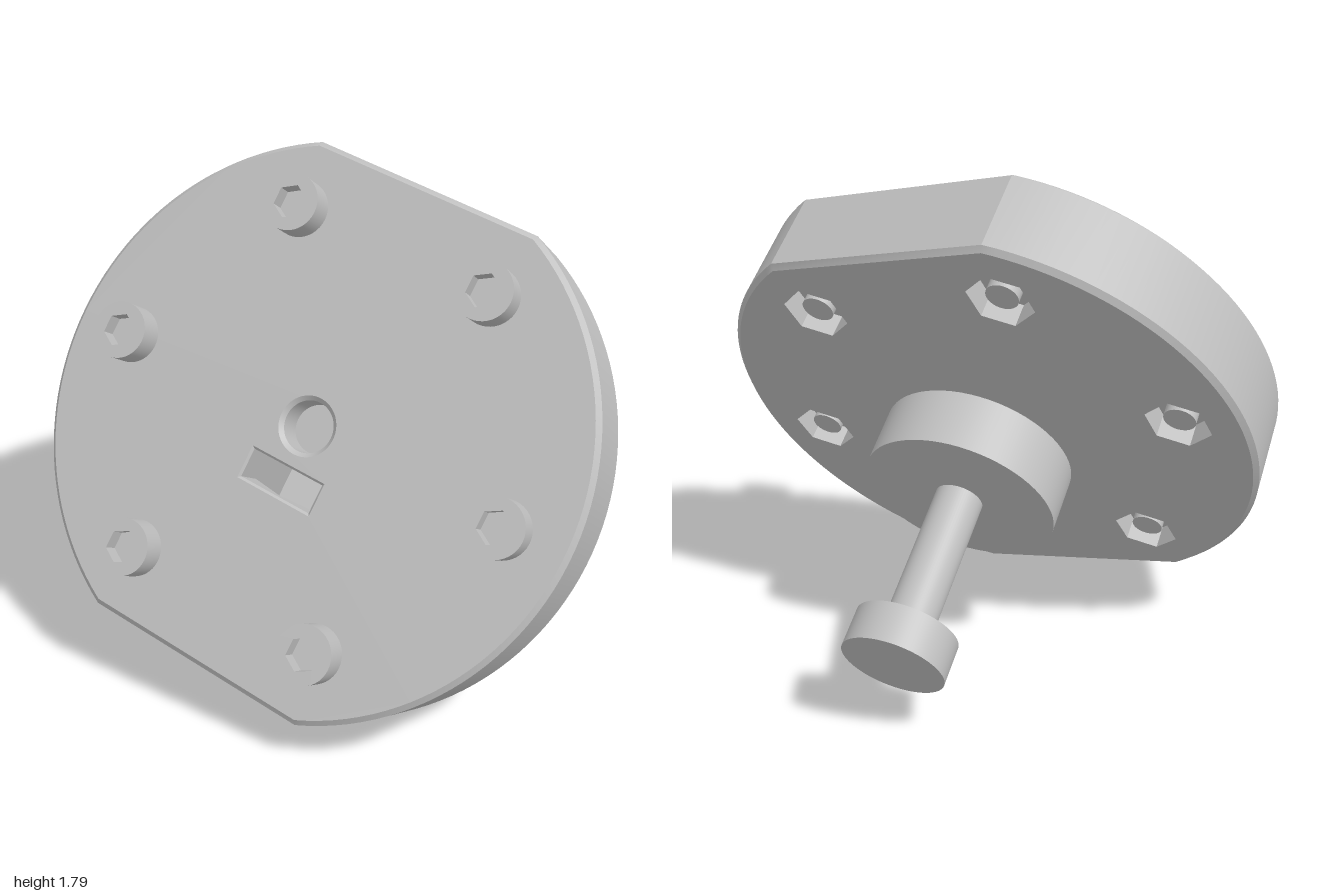
import * as THREE from 'three';
import { toCreasedNormals } from 'three/addons/utils/BufferGeometryUtils.js';

const R = 0.99, FLAT = 0.895, T = 0.34, CH = 0.018; // plate radius, flat distance, thickness, chamfer
const BOLT_CIRCLE = 0.755, HEAD_H = 0.1;

const metal = new THREE.MeshStandardMaterial({ color: 0xbfbfbf, side: THREE.DoubleSide });
metal.name = 'light grey metal';

function add(parent, name, geometry) {
  const mesh = new THREE.Mesh(geometry, metal);
  mesh.name = name;
  parent.add(mesh);
  return mesh;
}

// Counter-clockwise loops of 2D points
function ngon(n, r, cx = 0, cy = 0, phase = 0) {
  return Array.from({ length: n }, (_, i) => {
    const a = phase + (i / n) * Math.PI * 2;
    return new THREE.Vector2(cx + r * Math.cos(a), cy + r * Math.sin(a));
  });
}
const hexagon = (r, cx = 0, cy = 0) => ngon(6, r, cx, cy, Math.PI / 2);

function rect(x0, x1, y0, y1) {
  return [[x0, y0], [x1, y0], [x1, y1], [x0, y1]].map(p => new THREE.Vector2(...p));
}

// Disc outline with two parallel flats; the closing edge is the lower flat
function plateOutline(inset) {
  const r = R - inset, t = Math.asin((FLAT - inset) / r), pts = [];
  for (const start of [0, Math.PI]) {
    for (let i = 0; i <= 48; i++) {
      const a = start - t + (2 * t * i) / 48;
      pts.push(new THREE.Vector2(r * Math.cos(a), r * Math.sin(a)));
    }
  }
  return pts;
}

// Wall between two matching loops; faces outward when loop a lies below loop b
function strip(a, za, b, zb, closed = true) {
  const pos = [], n = a.length;
  for (let i = 0; i < (closed ? n : n - 1); i++) {
    const j = (i + 1) % n;
    const p = [a[i].x, a[i].y, za], q = [a[j].x, a[j].y, za];
    const r = [b[j].x, b[j].y, zb], s = [b[i].x, b[i].y, zb];
    pos.push(...p, ...q, ...r, ...p, ...r, ...s);
  }
  const g = new THREE.BufferGeometry();
  g.setAttribute('position', new THREE.Float32BufferAttribute(pos, 3));
  return toCreasedNormals(g, 0.35);
}

function face(outline, holes = []) {
  const shape = new THREE.Shape(outline);
  shape.holes = holes.map(h => new THREE.Path(h));
  return new THREE.ShapeGeometry(shape);
}

// Cylinder along z from z0 down to z1
function rod(r, z0, z1) {
  return new THREE.CylinderGeometry(r, r, z0 - z1, 64).rotateX(Math.PI / 2).translate(0, 0, (z0 + z1) / 2);
}

// Round bolt head with a hexagonal socket, seated on z = 0
function socketHead() {
  const g = new THREE.Group();
  g.name = 'socketBoltHead';
  const shape = new THREE.Shape(ngon(40, 0.1));
  shape.holes.push(new THREE.Path(hexagon(0.06)));
  const body = new THREE.ExtrudeGeometry(shape, { depth: HEAD_H, bevelEnabled: false });
  add(g, 'boltHead', toCreasedNormals(body, 0.5));
  add(g, 'socketFloor', face(hexagon(0.06))).position.z = 0.04;
  return g;
}

export function createModel() {
  const model = new THREE.Group();
  model.name = 'clampPlateWithKnob';

  const full = plateOutline(0), cap = plateOutline(CH);
  const bolts = ngon(6, BOLT_CIRCLE);
  const pockets = bolts.map(p => hexagon(0.118, p.x, p.y));
  const boreRim = ngon(48, 0.105), bore = ngon(48, 0.09);
  const slotRim = rect(-0.148, 0.148, -0.265, -0.144), slot = rect(-0.14, 0.14, -0.257, -0.152);

  // Plate faces, chamfers and rim
  add(model, 'plateFront', face(cap, [boreRim, slotRim]));
  add(model, 'plateBack', face(cap, pockets).rotateY(Math.PI).translate(0, 0, -T));
  add(model, 'frontChamfer', strip(full, -CH, cap, 0));
  add(model, 'backChamfer', strip(cap, -T, full, CH - T));
  add(model, 'plateRim', strip(full, CH - T, full, -CH, false));

  // Central bore and nut slot, each with a chamfered rim
  add(model, 'boreChamfer', strip(boreRim, 0, bore, -0.015));
  add(model, 'boreWall', strip(bore, -0.015, bore, -0.15));
  add(model, 'boreFloor', face(bore)).position.z = -0.15;
  add(model, 'slotChamfer', strip(slotRim, 0, slot, -0.008));
  add(model, 'slotWall', strip(slot, -0.008, slot, -0.135));

  // Captive nut showing its upper corner inside the slot
  const roof = new THREE.Shape([[-0.14, -0.134], [0.14, -0.134], [0, -0.05]].map(p => new THREE.Vector2(...p)));
  const nut = new THREE.ExtrudeGeometry(roof, { depth: 0.105, bevelEnabled: false });
  add(model, 'captiveNut', nut.rotateX(Math.PI / 2).translate(0, -0.152, 0));

  // Lower flat with a recessed clamping screw
  const flat = new THREE.Group();
  flat.name = 'lowerFlat';
  flat.rotation.x = Math.PI / 2;
  flat.position.y = -FLAT;
  const half = Math.sqrt(R * R - FLAT * FLAT);
  const holeRim = ngon(48, 0.15, 0, -T / 2), hole = ngon(48, 0.138, 0, -T / 2);
  add(flat, 'flatPanel', face(rect(-half, half, CH - T, -CH), [holeRim]));
  add(flat, 'screwHoleChamfer', strip(holeRim, 0, hole, -0.012));
  add(flat, 'screwHoleWall', strip(hole, -0.012, hole, -0.21));
  add(flat, 'screwSeat', face(hole)).position.z = -0.21;
  const screw = socketHead();
  screw.position.set(0, -T / 2, -0.21);
  flat.add(screw);
  model.add(flat);

  // Ring of six bolts with hexagonal nut pockets behind
  bolts.forEach((p, i) => {
    const head = socketHead();
    head.position.set(p.x, p.y, 0);
    model.add(head);
    add(model, 'nutPocketWall', strip(pockets[i], -T + 0.09, pockets[i], -T));
    add(model, 'nutPocketFloor', face(hexagon(0.118)).rotateY(Math.PI)).position.set(p.x, p.y, -T + 0.09);
    add(model, 'boltEnd', rod(0.057, -T + 0.1, -T + 0.02)).position.set(p.x, p.y, 0);
  });

  // Shaft, large collar and end knob
  add(model, 'shaft', rod(0.086, -0.11, -1.25));
  add(model, 'collar', rod(0.348, -0.448, -0.66));
  add(model, 'endKnob', rod(0.181, -1.186, -1.325));

  // Tilt the whole assembly
  const u = new THREE.Vector3(0.965, -0.208, 0.161).normalize();
  const w = u.clone().cross(new THREE.Vector3(0.257, 0.812, -0.523)).normalize();
  const v = w.clone().cross(u);
  model.applyMatrix4(new THREE.Matrix4().makeBasis(u, v, w).setPosition(-0.008, 1.004, 0.333));

  const root = new THREE.Group();
  root.name = 'model';
  root.add(model);
  return root;
}
